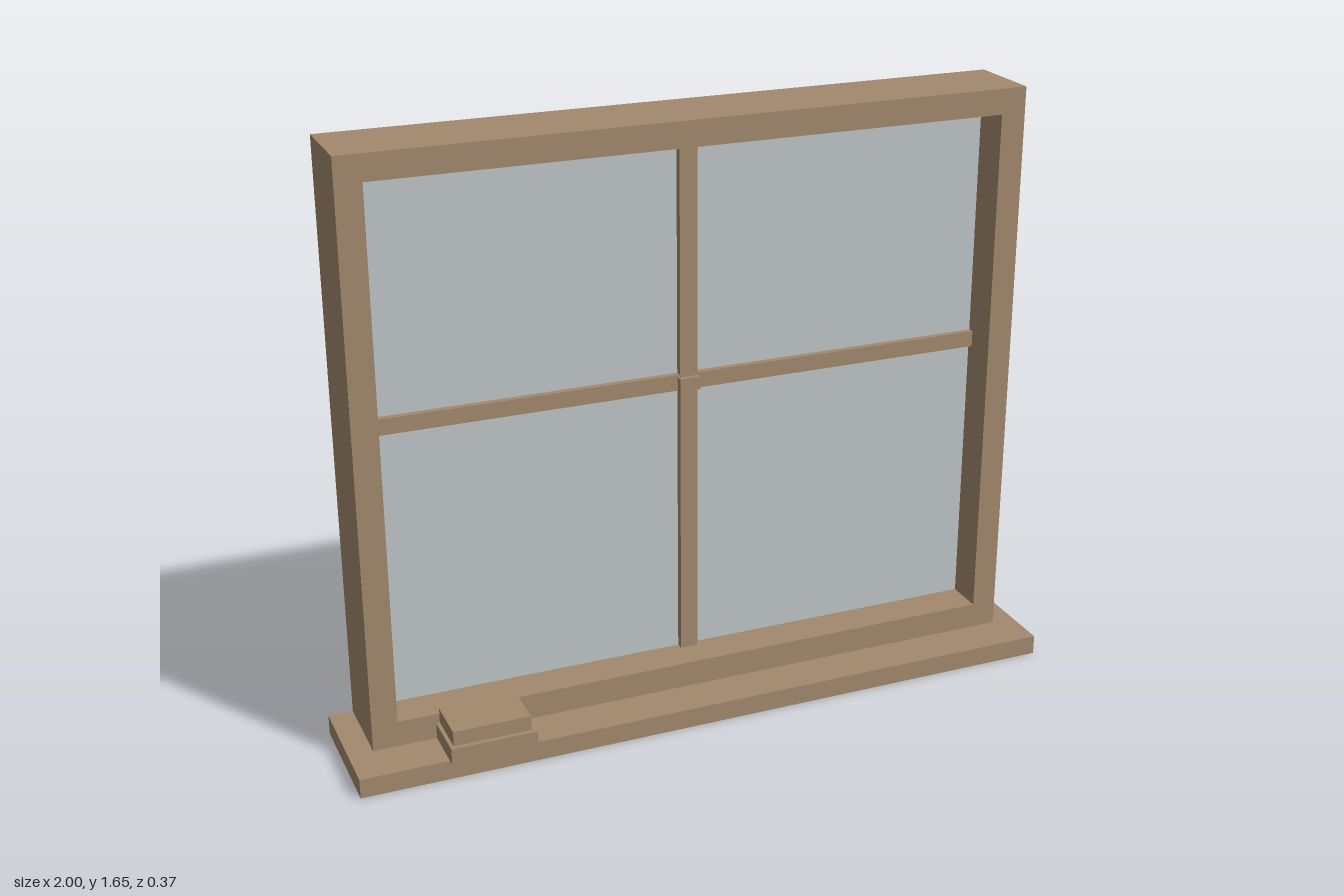
import * as THREE from 'three';

const wood = new THREE.MeshStandardMaterial({ color: 0xa3896d });
wood.name = 'wood';
const glass = new THREE.MeshStandardMaterial({ color: 0xc0c6ca });
glass.name = 'glass';

// Box given by its lower and upper limits on each axis
function box(name, [x0, x1], [y0, y1], [z0, z1], material = wood) {
  const mesh = new THREE.Mesh(new THREE.BoxGeometry(x1 - x0, y1 - y0, z1 - z0), material);
  mesh.position.set((x0 + x1) / 2, (y0 + y1) / 2, (z0 + z1) / 2);
  mesh.name = name;
  return mesh;
}

// Rectangular outline, usable as a shape or a hole
function rectangle(Type, x0, x1, y0, y1) {
  return new Type([[x0, y0], [x1, y0], [x1, y1], [x0, y1]].map(([x, y]) => new THREE.Vector2(x, y)));
}

export function createModel() {
  const model = new THREE.Group();
  model.name = 'window';

  const back = -0.183, front = 0.04;
  const paneZ = (back + front) / 2;

  // Sill
  model.add(box('sill', [-1, 1], [0, 0.055], [back, 0.163]));

  // Outer frame with a single opening
  const outline = rectangle(THREE.Shape, -0.933, 0.933, 0.055, 1.655);
  outline.holes.push(rectangle(THREE.Path, -0.863, 0.863, 0.127, 1.585));
  const frame = new THREE.Mesh(
    new THREE.ExtrudeGeometry(outline, { depth: front - back, bevelEnabled: false }), wood);
  frame.position.z = back;
  frame.name = 'frame';
  model.add(frame);

  // Glass pane and the crossing glazing bars
  model.add(box('glassPane', [-0.863, 0.863], [0.127, 1.585], [paneZ - 0.004, paneZ + 0.004], glass));
  model.add(box('verticalBar', [-0.025, 0.025], [0.127, 1.585], [paneZ - 0.025, paneZ + 0.025]));
  for (const [name, x0, x1] of [['rightBar', -0.863, -0.025], ['leftBar', 0.025, 0.863]]) {
    model.add(box(name, [x0, x1], [0.902, 0.946], [paneZ - 0.022, paneZ + 0.022]));
  }

  // Latch where the bars cross
  model.add(box('latch', [-0.031, 0.027], [0.904, 0.94], [paneZ + 0.02, paneZ + 0.04]));

  // Two stacked blocks on the sill
  model.add(box('lowerBlock', [-0.76, -0.525], [0.055, 0.1], [front, 0.183]));
  model.add(box('upperBlock', [-0.75, -0.538], [0.1, 0.142], [front, 0.17]));

  return model;
}
